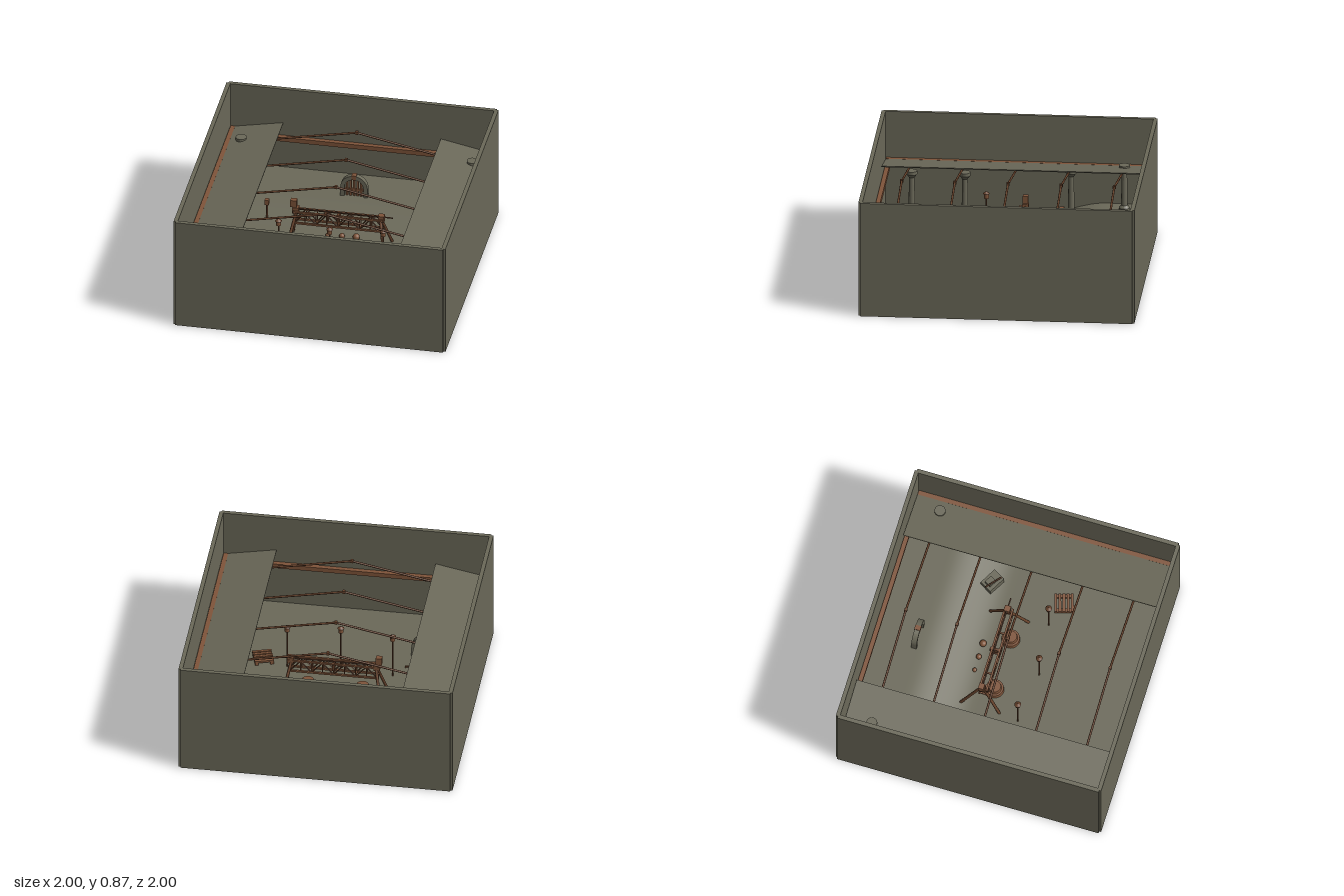
import * as THREE from 'three';

const mat = (name, color, extra = {}) => {
  const m = new THREE.MeshStandardMaterial({ color, ...extra });
  m.name = name;
  return m;
};

export function createModel() {
  const stone = mat('olive stone', 0x6b6959);
  const ground = mat('ground', 0x6b6959, { side: THREE.DoubleSide });
  const wood = mat('rusty wood', 0x80553a);
  const darkWood = mat('dark wood', 0x68432c);
  const root = new THREE.Group();
  root.name = 'cavernHall';

  const add = (parent, name, geo, material, x = 0, y = 0, z = 0) => {
    const m = new THREE.Mesh(geo, material);
    m.name = name;
    m.position.set(x, y, z);
    parent.add(m);
    return m;
  };
  const box = (parent, name, material, w, h, d, x, y, z) =>
    add(parent, name, new THREE.BoxGeometry(w, h, d), material, x, y, z);
  const UP = new THREE.Vector3(0, 1, 0);
  // square or round bar between two points
  const bar = (parent, name, material, a, b, r, sides = 6) => {
    const p = new THREE.Vector3(...a), q = new THREE.Vector3(...b);
    const m = add(parent, name, new THREE.CylinderGeometry(r, r, p.distanceTo(q), sides), material);
    m.position.copy(p).lerp(q, 0.5);
    m.quaternion.setFromUnitVectors(UP, q.sub(p).normalize());
    return m;
  };
  const group = (name, x, y, z, turn = 0) => {
    const g = new THREE.Group();
    g.name = name;
    g.position.set(x, y, z);
    g.rotation.y = turn;
    root.add(g);
    return g;
  };

  // floor height: a raised terrace at the back easing down to the front
  const floorY = (z) => 0.21 - 0.09 * THREE.MathUtils.smoothstep(z, -0.62, -0.16);
  const roofY = (x) => 0.695 - 0.2 * Math.abs(x);

  // outer walls, meeting with a small notch at each corner
  const H = 0.865;
  for (const s of [-1, 1]) {
    box(root, 'endWall', stone, 1.97, H, 0.03, 0, H / 2, s * 0.985);
    box(root, 'sideWall', stone, 0.03, H, 1.97, s * 0.985, H / 2, 0);
  }

  // sloping floor
  const floor = new THREE.PlaneGeometry(1.95, 1.95, 2, 48).rotateX(-Math.PI / 2);
  const fp = floor.attributes.position;
  for (let i = 0; i < fp.count; i++) fp.setY(i, floorY(fp.getZ(i)));
  floor.computeVertexNormals();
  add(root, 'floor', floor, ground);

  // ledger beams around the walls
  for (const s of [-1, 1]) {
    box(root, 'sideLedger', wood, 0.033, 0.04, 1.93, s * 0.95, 0.495, 0);
    box(root, 'endLedger', wood, 1.86, 0.035, 0.033, 0, 0.462, s * 0.95);
  }

  // partial roof slabs along both sides
  for (const s of [-1, 1]) {
    const slab = new THREE.Shape([[0.58, 0.577], [0.97, 0.499], [0.97, 0.507], [0.58, 0.585]]
      .map(([x, y]) => new THREE.Vector2(s * x, y)));
    add(root, 'roofSlab', new THREE.ExtrudeGeometry(slab, { depth: 1.93, bevelEnabled: false }),
      stone, 0, 0, -0.965);
  }

  // gable rafters with a ridge joint
  for (const z of [-0.77, -0.385, 0, 0.385, 0.77]) {
    for (const s of [-1, 1])
      bar(root, 'rafter', darkWood, [s * 0.96, roofY(0.96) - 0.012, z], [0, 0.685, z], 0.008, 8);
    box(root, 'ridgeJoint', darkWood, 0.02, 0.022, 0.022, 0, 0.685, z);
  }

  // columns following the floor
  const columnProfile = [[0, 0], [0.04, 0], [0.04, 0.025], [0.024, 0.045], [0.02, 0.3],
    [0.04, 0.325], [0.04, 0.35], [0, 0.35]].map(([r, y]) => new THREE.Vector2(r, y));
  const columnGeo = new THREE.LatheGeometry(columnProfile, 20).toNonIndexed();
  columnGeo.computeVertexNormals();
  for (const x of [-0.85, 0.85])
    for (const z of [-0.77, -0.385, 0.385, 0.77])
      add(root, 'column', columnGeo, stone, x, floorY(z) - 0.01, z);

  // stone arches closed with wooden bars
  const arch = new THREE.Shape();
  arch.moveTo(0.1, 0).lineTo(0.1, 0.08).absarc(0, 0.08, 0.1, 0, Math.PI, false);
  arch.lineTo(-0.1, 0).lineTo(-0.07, 0).lineTo(-0.07, 0.08);
  arch.absarc(0, 0.08, 0.07, Math.PI, 0, true);
  arch.lineTo(0.07, 0);
  const archGeo = new THREE.ExtrudeGeometry(arch, { depth: 0.04, bevelEnabled: false, curveSegments: 10 });
  for (const [x, z] of [[0, -0.68], [-0.58, 0.475]]) {
    const g = group('archGate', x, floorY(z) - 0.01, z);
    add(g, 'archSurround', archGeo, stone, 0, 0, -0.02);
    box(g, 'keystone', wood, 0.035, 0.035, 0.044, 0, 0.167, 0);
    for (let i = -2; i <= 2; i++) {
      const h = 0.085 + Math.sqrt(0.07 ** 2 - (i * 0.026) ** 2);
      box(g, 'gateBar', wood, 0.015, h, 0.012, i * 0.026, h / 2, 0);
    }
    box(g, 'gateRail', wood, 0.14, 0.014, 0.018, 0, 0.06, 0);
  }

  // trestle: splayed legs carrying a lattice truss
  const top = 0.4, low = 0.31, x0 = 0.33;
  for (const s of [-1, 1]) {
    for (const z of [-0.25, 0.05])
      bar(root, 'trestleLeg', darkWood, [s * 0.367, floorY(z) - 0.015, z], [s * 0.305, 0.41, -0.1], 0.011, 8);
    box(root, 'trestleHead', wood, 0.045, 0.05, 0.045, s * 0.315, 0.4, -0.1);
  }
  for (const z of [-0.118, -0.062]) {
    for (const y of [low, top]) box(root, 'trussChord', wood, 2 * x0, 0.014, 0.014, 0, y, z);
    const n = 8, step = (2 * x0 - 0.02) / n;
    for (let i = 0; i < n; i++) {
      const x = -x0 + 0.01 + i * step, up = i % 2 === 0;
      bar(root, 'trussBrace', darkWood, [x, up ? low : top, z], [x + step, up ? top : low, z], 0.005);
      bar(root, 'trussPost', wood, [x, low, z], [x, top, z], 0.005);
    }
  }
  for (let i = 0; i <= 4; i++)
    box(root, 'trussTie', wood, 0.012, 0.012, 0.056, -0.32 + i * 0.16, low, -0.09);
  bar(root, 'windingAxle', darkWood, [-0.34, 0.41, -0.1], [0.4, 0.41, -0.1], 0.005);
  box(root, 'hoistBlock', darkWood, 0.02, 0.05, 0.07, 0, 0.375, -0.1);
  box(root, 'winchBox', wood, 0.045, 0.055, 0.04, -0.33, 0.455, -0.1);

  // low round drums set in the floor
  for (const x of [-0.2, 0.2]) {
    const y = floorY(-0.04);
    add(root, 'drumBase', new THREE.CylinderGeometry(0.065, 0.07, 0.05, 20), wood, x, y + 0.01, -0.04);
    add(root, 'drumCap', new THREE.CylinderGeometry(0.045, 0.05, 0.03, 20), wood, x, y + 0.05, -0.04);
  }

  // row of pots of growing size
  [[-0.105, 0.016], [0, 0.021], [0.105, 0.026]].forEach(([x, r]) =>
    add(root, 'pot', new THREE.SphereGeometry(r, 14, 10), wood, x, floorY(-0.22) + r * 0.8, -0.22));

  // lantern posts
  for (const [x, z] of [[-0.385, 0.19], [0.385, 0.19], [0, 0.235]]) {
    const g = group('lanternPost', x, floorY(z) - 0.01, z);
    bar(g, 'post', darkWood, [0, 0, 0], [0, 0.34, 0], 0.006);
    add(g, 'lantern', new THREE.CylinderGeometry(0.018, 0.018, 0.035, 10), wood, 0, 0.34, 0);
    add(g, 'lanternCap', new THREE.ConeGeometry(0.025, 0.02, 12), darkWood, 0, 0.368, 0);
  }

  // stone block with a tool leaning on it
  const forge = group('workBlock', 0.57, floorY(-0.29), -0.29, -0.5);
  box(forge, 'block', stone, 0.14, 0.07, 0.1, 0, 0.02, 0);
  box(forge, 'blockTop', stone, 0.06, 0.03, 0.05, -0.02, 0.07, 0);
  bar(forge, 'toolHandle', darkWood, [-0.09, 0.13, 0.02], [0.06, 0.06, 0.03], 0.006);

  // stack of slatted planks
  const pallet = group('plankStack', 0.57, floorY(0.25), 0.25, 0.3);
  for (let i = 0; i < 5; i++) box(pallet, 'slat', wood, 0.14, 0.015, 0.02, 0, 0.028, (i - 2) * 0.03);
  for (const s of [-1, 1]) box(pallet, 'bearer', wood, 0.025, 0.03, 0.14, s * 0.055, 0.008, 0);

  // loose bits on the floor
  const scrap = group('loosePlank', -0.485, floorY(0.31) + 0.008, 0.31, 0.25);
  box(scrap, 'plank', darkWood, 0.055, 0.012, 0.012, 0, 0, 0);
  const stake = group('signStake', -0.575, floorY(-0.34) - 0.01, -0.34);
  bar(stake, 'stake', darkWood, [0, 0, 0], [0, 0.15, 0], 0.008);
  box(stake, 'stakeBoard', wood, 0.03, 0.04, 0.035, 0, 0.15, 0);

  return root;
}
